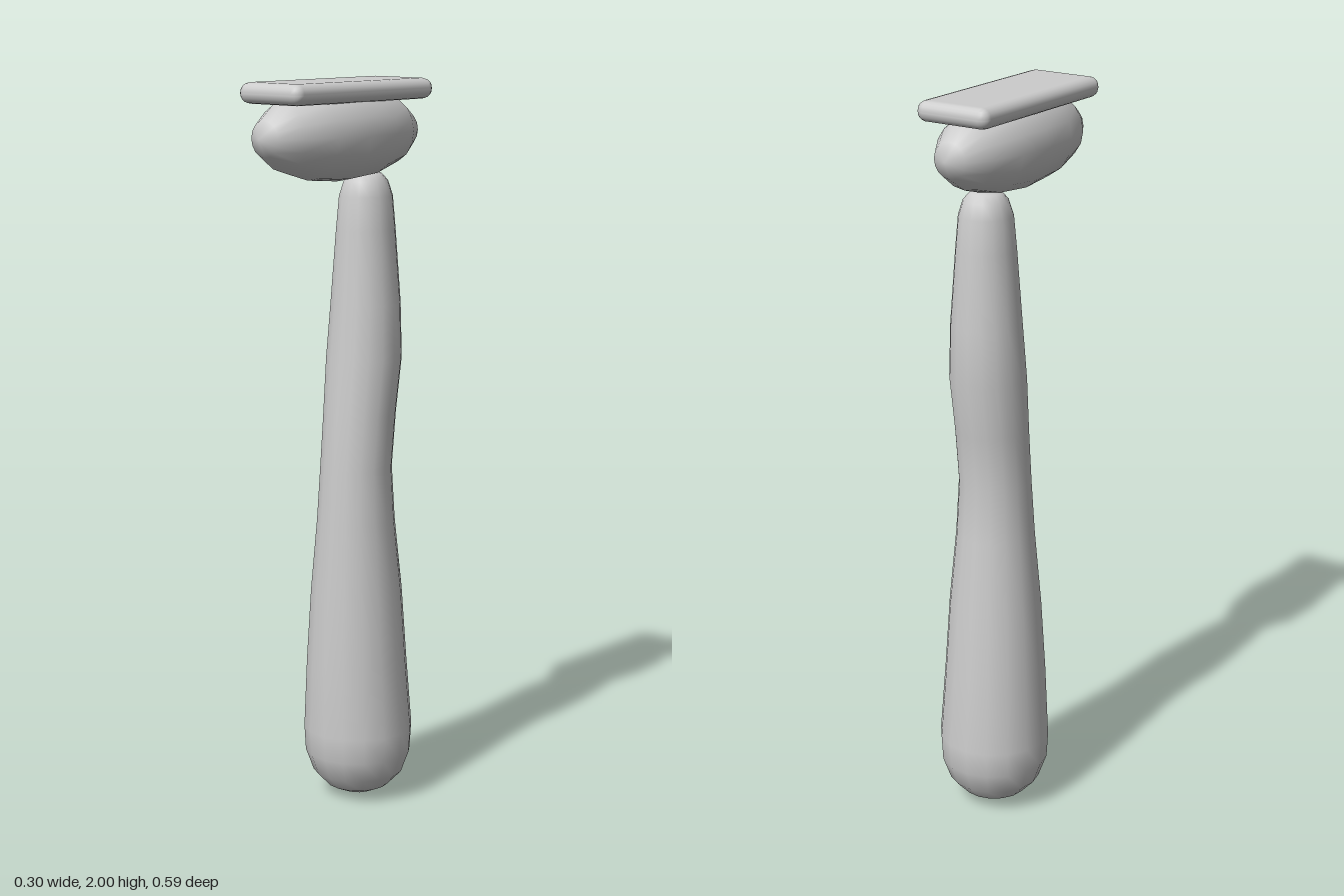
import * as THREE from 'three';
import { mergeVertices } from 'three/addons/utils/BufferGeometryUtils.js';
import { RoundedBoxGeometry } from 'three/addons/geometries/RoundedBoxGeometry.js';

// Handle rings, bottom to top: height, radius, centre x, centre z
const RINGS = [
  [0, 0, 0, -0.1], [0.01, 0.045, 0, -0.1], [0.03, 0.088, 0, -0.1], [0.07, 0.126, 0, -0.1],
  [0.13, 0.148, 0, -0.1], [0.2, 0.152, 0, -0.1], [0.4, 0.14, 0, -0.094], [0.6, 0.127, 0.002, -0.09],
  [0.8, 0.108, 0.005, -0.084], [0.95, 0.099, 0.007, -0.082], [1.1, 0.1, 0.008, -0.095],
  [1.25, 0.104, 0.008, -0.112], [1.4, 0.096, 0.008, -0.118], [1.6, 0.081, 0.008, -0.118],
  [1.69, 0.073, 0.008, -0.118], [1.73, 0.06, 0.008, -0.118], [1.75, 0.042, 0.008, -0.118],
  [1.762, 0, 0.008, -0.118],
];

// Lathe whose rings are shifted sideways to follow the bent grip
function handleGeometry() {
  const profile = RINGS.map(([y, r]) => new THREE.Vector2(r, y));
  let geo = new THREE.LatheGeometry(profile, 16, 0.07);
  const pos = geo.attributes.position;
  for (let i = 0; i < pos.count; i++) {
    const [, , cx, cz] = RINGS[i % RINGS.length];
    pos.setX(i, pos.getX(i) + cx);
    pos.setZ(i, pos.getZ(i) + cz);
  }
  geo.deleteAttribute('uv');
  geo.deleteAttribute('normal');
  geo = mergeVertices(geo, 1e-4);
  geo.computeVertexNormals();
  return geo;
}

export function createModel() {
  const group = new THREE.Group();
  const grey = new THREE.MeshStandardMaterial({ color: 0xcccccc });
  grey.name = 'light grey';
  const add = (name, geo) => {
    const mesh = new THREE.Mesh(geo, grey);
    mesh.name = name;
    group.add(mesh);
    return mesh;
  };

  // Bent, tapering grip
  add('handle', handleGeometry());

  // Egg-shaped neck with its poles along z
  const neck = new THREE.SphereGeometry(1, 16, 8).rotateX(Math.PI / 2).scale(0.125, 0.125, 0.293);
  add('neck', neck).position.set(0.011, 1.86, 0);

  // Flat rounded head plate
  add('headPlate', new RoundedBoxGeometry(0.219, 0.055, 0.535, 2, 0.026))
    .position.set(0.0095, 1.9725, -0.0055);

  return group;
}
